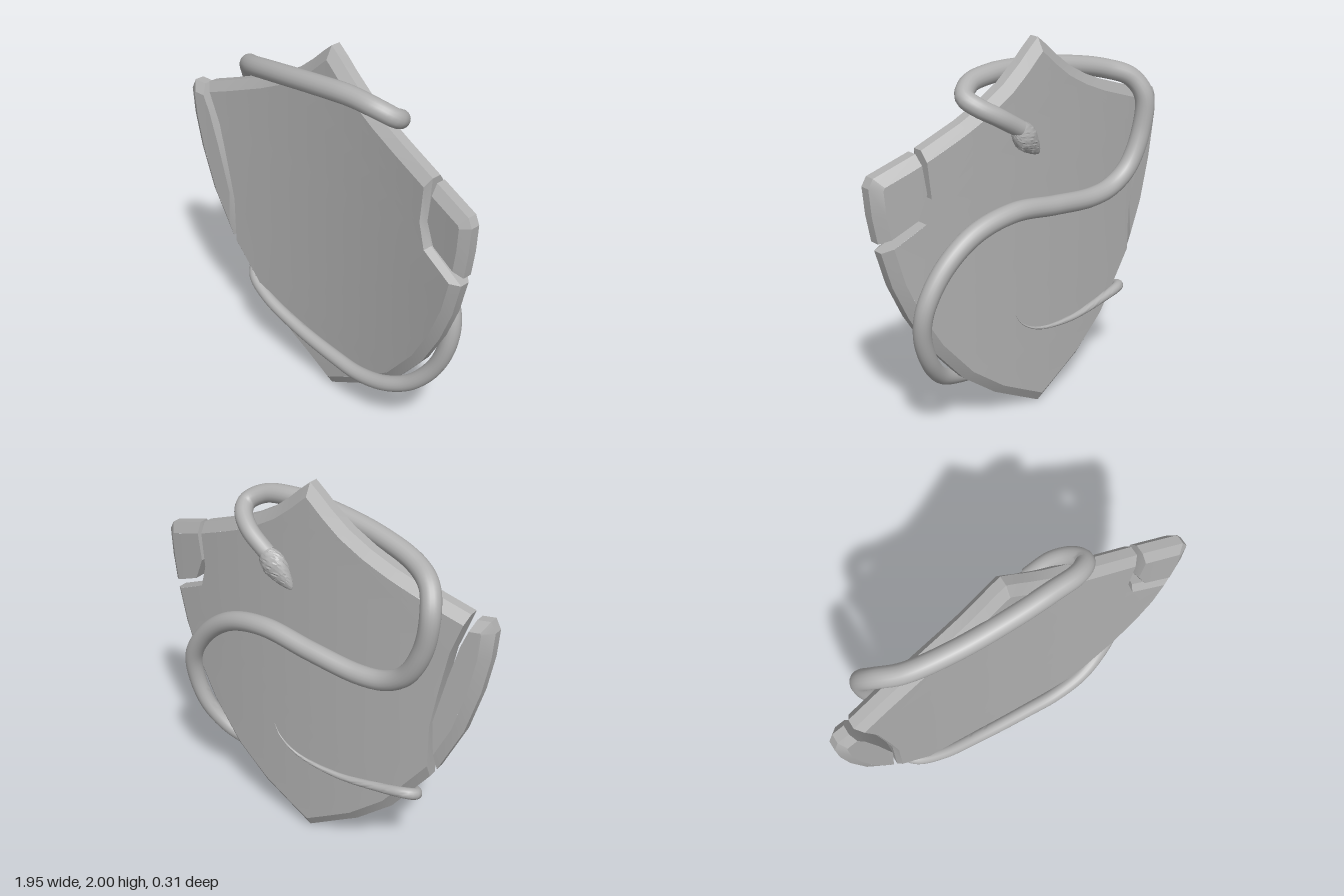
import * as THREE from 'three';
import { toCreasedNormals } from 'three/addons/utils/BufferGeometryUtils.js';

const stone = new THREE.MeshStandardMaterial({ color: 0xb0b0b0 });
stone.name = 'grey stone';

const V3 = (p) => new THREE.Vector3(...p);
const bow = (x) => 0.085 * (x / 0.96) ** 2; // the shield bends forward at its sides

function makeGeometry(positions) {
  const g = new THREE.BufferGeometry();
  g.setAttribute('position', new THREE.Float32BufferAttribute(positions, 3));
  return g;
}

// Moves every edge of a counter-clockwise outline inwards by its own distance
function inset(points, distance) {
  const n = points.length;
  const lines = points.map((p, i) => {
    const q = points[(i + 1) % n];
    const dx = q[0] - p[0], dy = q[1] - p[1], l = Math.hypot(dx, dy);
    return { nx: -dy / l, ny: dx / l, d: distance(p) };
  });
  return points.map((p, i) => {
    const a = lines[(i + n - 1) % n], b = lines[i];
    const det = a.nx * b.ny - a.ny * b.nx;
    if (Math.abs(det) < 0.04) {
      const d = (a.d + b.d) / 2;
      return [p[0] + b.nx * d, p[1] + b.ny * d];
    }
    return [p[0] + (a.d * b.ny - b.d * a.ny) / det, p[1] + (b.d * a.nx - a.d * b.nx) / det];
  });
}

// Bowed plate with chamfered rim; a third value of 1 marks a broken edge
function plate(name, outline, crackSlant) {
  const rim = 0.05;
  const rings = [
    [inset(outline, (p) => (p[2] ? 0 : rim)), -0.06],
    [outline, -0.025],
    [outline, 0.025],
    [inset(outline, (p) => (p[2] ? crackSlant : rim)), 0.06],
  ];
  const pos = [];
  const put = (p, z) => pos.push(p[0], p[1], bow(p[0]) + z);
  // chamfers and edge
  for (let r = 0; r < 3; r++) {
    const [lo, z0] = rings[r], [hi, z1] = rings[r + 1];
    lo.forEach((a, i) => {
      const j = (i + 1) % lo.length;
      put(a, z0); put(lo[j], z0); put(hi[j], z1);
      put(a, z0); put(hi[j], z1); put(hi[i], z1);
    });
  }
  // front and back faces, subdivided so that they follow the bow
  const mid = (a, b) => [(a[0] + b[0]) / 2, (a[1] + b[1]) / 2];
  const split = (a, b, c, z, level) => {
    if (!level) { put(a, z); put(b, z); put(c, z); return; }
    const ab = mid(a, b), bc = mid(b, c), ca = mid(c, a);
    for (const t of [[a, ab, ca], [ab, b, bc], [ca, bc, c], [ab, bc, ca]]) split(...t, z, level - 1);
  };
  for (const [ring, z] of [rings[0], rings[3]]) {
    const contour = ring.map((p) => new THREE.Vector2(p[0], p[1]));
    for (const [i, j, k] of THREE.ShapeUtils.triangulateShape(contour, [])) {
      if (z > 0) split(ring[i], ring[j], ring[k], z, 3);
      else split(ring[i], ring[k], ring[j], z, 3);
    }
  }
  const mesh = new THREE.Mesh(toCreasedNormals(makeGeometry(pos), 0.35), stone);
  mesh.name = name;
  return mesh;
}

// Tube along a curve whose radius follows a rule
function taperedTube(curve, radius, steps, sides) {
  const frames = curve.computeFrenetFrames(steps, false);
  const pos = [], index = [];
  for (let i = 0; i <= steps; i++) {
    const c = curve.getPointAt(i / steps), r = radius(i / steps);
    for (let j = 0; j <= sides; j++) {
      const a = (j / sides) * Math.PI * 2;
      const p = c.clone()
        .addScaledVector(frames.normals[i], r * Math.cos(a))
        .addScaledVector(frames.binormals[i], r * Math.sin(a));
      pos.push(p.x, p.y, p.z);
      if (i < steps && j < sides) {
        const k = i * (sides + 1) + j, m = k + sides + 1;
        index.push(k, k + 1, m, k + 1, m + 1, m);
      }
    }
  }
  const g = makeGeometry(pos);
  g.setIndex(index);
  return toCreasedNormals(g, 0.9);
}

// Serpent head: pointed ovoid along +y with rough scales
function headGeometry() {
  const g = new THREE.SphereGeometry(1, 40, 30);
  const p = g.attributes.position;
  for (let i = 0; i < p.count; i++) {
    const x = p.getX(i), y = p.getY(i), z = p.getZ(i);
    const taper = y > -0.2 ? 1 - 0.4 * (y + 0.2) : 1;
    const rough = 1 + 0.06 * Math.sin(x * 17 + y * 9) * Math.sin(y * 23 + z * 7) * Math.cos(z * 19);
    p.setXYZ(i, x * 0.068 * taper * rough, y * 0.125, z * 0.05 * taper * rough);
  }
  return toCreasedNormals(g, 0.3);
}

export function createModel() {
  const group = new THREE.Group();

  // main body of the shield
  group.add(plate('shieldBody', [
    [0, 0], [0.3, 0.17], [0.5, 0.33], [0.68, 0.55], [0.8, 0.76], [0.88, 0.95],
    [0.93, 1.14, 1], [0.71, 1.24, 1], [0.677, 1.36, 1],
    [0.7, 1.595], [0.48, 1.68], [0.34, 1.745], [0.22, 1.815], [0.12, 1.895], [0.06, 1.95],
    [0, 2], [-0.06, 1.95], [-0.12, 1.895], [-0.22, 1.815], [-0.34, 1.745], [-0.48, 1.68], [-0.7, 1.595],
    [-0.855, 1.54, 1], [-0.78, 1.33, 1], [-0.735, 1.1, 1], [-0.7, 0.9, 1],
    [-0.7, 0.585], [-0.5, 0.33], [-0.3, 0.17],
  ], 0.02));

  // broken-off pieces
  group.add(plate('leftFragment', [
    [0.942, 1.19], [0.965, 1.33], [0.975, 1.47], [0.95, 1.515],
    [0.73, 1.585, 1], [0.7, 1.39, 1], [0.75, 1.27, 1],
  ], 0.01));
  group.add(plate('rightFragment', [
    [-0.735, 0.64, 1], [-0.715, 0.93, 1], [-0.78, 1.2, 1], [-0.83, 1.38, 1],
    [-0.885, 1.52], [-0.95, 1.525], [-0.975, 1.47], [-0.965, 1.33], [-0.93, 1.14], [-0.86, 0.9],
  ], 0));

  // serpent wound around the shield, from neck to tail tip
  const path = new THREE.CatmullRomCurve3([
    [0.2, 1.61, -0.105], [0.32, 1.69, -0.085], [0.4, 1.745, -0.03], [0.42, 1.78, 0.03],
    [0.35, 1.82, 0.08], [0.2, 1.835, 0.098], [0, 1.82, 0.105], [-0.3, 1.775, 0.09],
    [-0.55, 1.715, 0.04], [-0.67, 1.66, -0.03], [-0.715, 1.56, -0.085], [-0.69, 1.36, -0.09],
    [-0.6, 1.19, -0.085], [-0.48, 1.115, -0.08], [-0.33, 1.1, -0.085], [-0.05, 1.14, -0.095],
    [0.23, 1.18, -0.09], [0.47, 1.13, -0.07], [0.65, 1.0, -0.055], [0.76, 0.83, -0.045],
    [0.77, 0.68, -0.025], [0.71, 0.5, 0], [0.6, 0.365, 0.045], [0.46, 0.295, 0.085],
    [0.28, 0.26, 0.1], [0.1, 0.265, 0.098], [-0.2, 0.305, 0.095], [-0.45, 0.375, 0.09],
    [-0.59, 0.43, 0.055], [-0.635, 0.46, 0], [-0.6, 0.475, -0.04], [-0.45, 0.46, -0.06],
    [-0.2, 0.44, -0.075], [0.05, 0.475, -0.08], [0.16, 0.54, -0.075], [0.2, 0.6, -0.07],
  ].map(V3));
  const body = new THREE.Mesh(taperedTube(path, (t) => {
    if (t < 0.5) return 0.043 + 0.008 * Math.min(1, t / 0.1);
    if (t < 0.86) return 0.051 - 0.021 * ((t - 0.5) / 0.36);
    return 0.001 + 0.029 * ((1 - t) / 0.14);
  }, 320, 18), stone);
  body.name = 'serpentBody';
  group.add(body);

  // head pointing down the back of the shield
  const head = new THREE.Mesh(headGeometry(), stone);
  head.name = 'serpentHead';
  head.position.set(0.145, 1.54, -0.1);
  head.quaternion.setFromUnitVectors(new THREE.Vector3(0, 1, 0), V3([-0.68, -0.73, 0.05]).normalize());
  group.add(head);

  return group;
}
